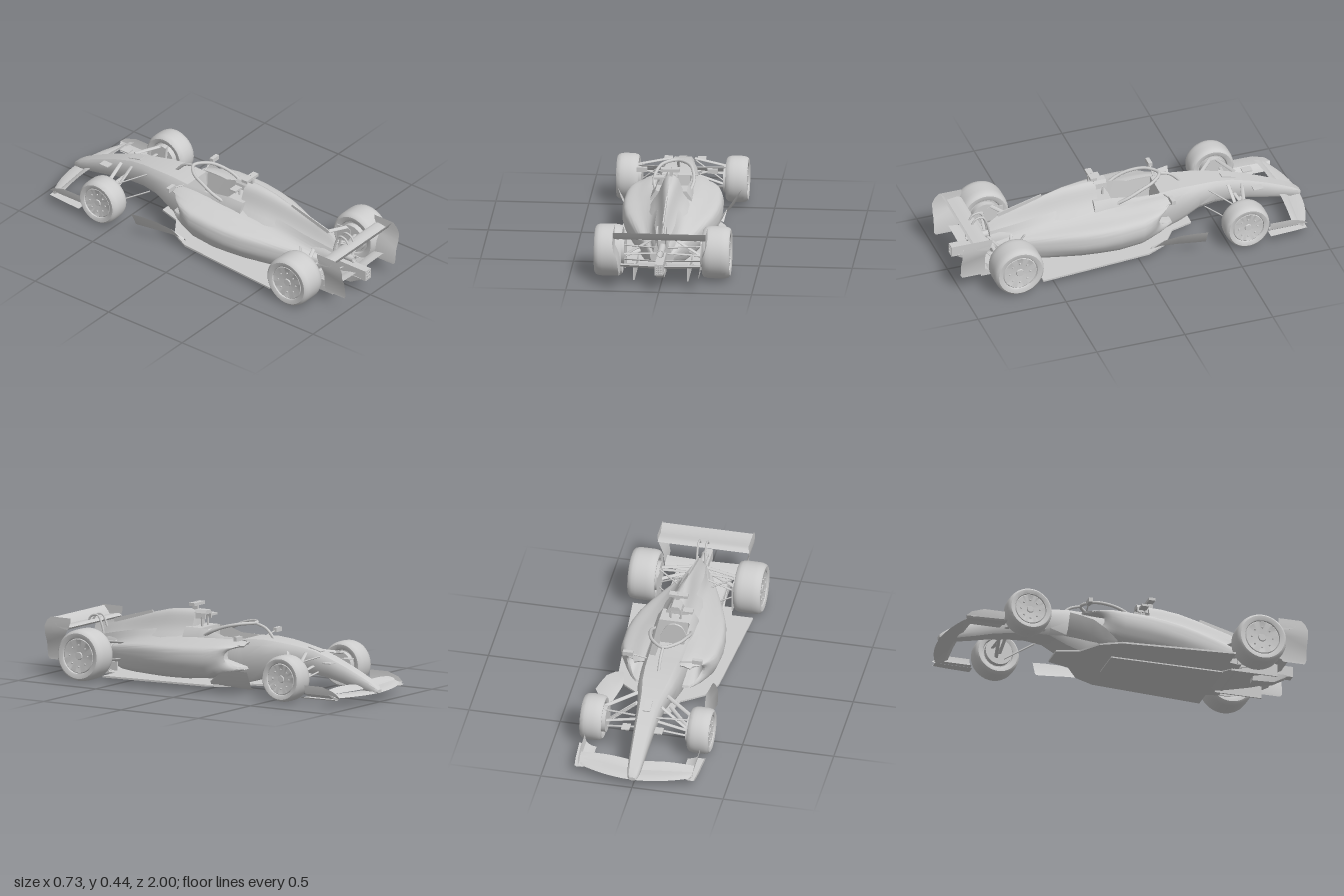
import * as THREE from 'three';
import { toCreasedNormals } from 'three/addons/utils/BufferGeometryUtils.js';

const bodyGrey = new THREE.MeshStandardMaterial({ color: 0xcccccc, side: THREE.DoubleSide });
bodyGrey.name = 'bodyGrey';

// Surface through rows of [x,y,z] points; rings may be closed and capped.
function skin(rows, closed = true, crease = 0.6) {
  const n = rows[0].length, idx = [], pos = rows.flat(2);
  const m = closed ? n : n - 1;
  for (let i = 0; i < rows.length - 1; i++) {
    for (let j = 0; j < m; j++) {
      const a = i * n + j, b = i * n + (j + 1) % n;
      idx.push(a, b, a + n, b, b + n, a + n);
    }
  }
  if (closed) {
    [0, rows.length - 1].forEach((r, end) => {
      const c = pos.length / 3;
      pos.push(...[0, 1, 2].map(k => rows[r].reduce((s, p) => s + p[k], 0) / n));
      for (let j = 0; j < n; j++) {
        const a = r * n + j, b = r * n + (j + 1) % n;
        end ? idx.push(c, a, b) : idx.push(c, b, a);
      }
    });
  }
  const g = new THREE.BufferGeometry();
  g.setAttribute('position', new THREE.Float32BufferAttribute(pos, 3));
  g.setIndex(idx);
  return toCreasedNormals(g, crease);
}

// Mirrored copy across x with corrected winding.
function mirror(geo) {
  const g = geo.index ? geo.toNonIndexed() : geo.clone();
  for (const key of ['position', 'normal']) {
    const a = g.attributes[key];
    for (let i = 0; i < a.count; i += 3) {
      const v = [0, 2, 1].map(k => [-a.getX(i + k), a.getY(i + k), a.getZ(i + k)]);
      v.forEach((p, k) => a.setXYZ(i + k, ...p));
    }
  }
  return g;
}

// Full ring at z from a half profile running bottom centre to top centre.
const ring = (z, half) => [
  ...half.map(([x, y]) => [x, y, z]),
  ...half.slice(1, -1).reverse().map(([x, y]) => [-x, y, z]),
];

// Smooth a half profile with a spline.
const smooth = (pts, n = 20) => new THREE.SplineCurve(pts.map(p => new THREE.Vector2(...p)))
  .getPoints(n).map(p => [p.x, p.y]);

// Wing spanning x; f(x) gives leading z,y, trailing z,y and thickness.
function foil(span, f, n = 24) {
  const rows = [];
  for (let i = 0; i <= n; i++) {
    const x = -span + 2 * span * i / n, [zl, yl, zt, yt, t] = f(x);
    const at = (k, d) => [x, yl + (yt - yl) * k + d, zl + (zt - zl) * k];
    rows.push([at(0, 0), at(0.25, t * 0.5), at(0.6, t * 0.3), at(1, 0), at(0.6, -t * 0.5), at(0.25, -t * 0.7)]);
  }
  return skin(rows);
}

// Bar between two points; chord widens it into a blade.
function rod(a, b, r = 0.006, chord = 1) {
  const A = new THREE.Vector3(...a), d = new THREE.Vector3(...b).sub(A);
  const g = new THREE.CylinderGeometry(r, r, d.length(), 10).scale(1, 1, chord);
  g.applyQuaternion(new THREE.Quaternion().setFromUnitVectors(new THREE.Vector3(0, 1, 0), d.clone().normalize()));
  return g.translate(...A.addScaledVector(d, 0.5).toArray());
}

const box = (w, h, d, x, y, z) => new THREE.BoxGeometry(w, h, d).translate(x, y, z);
const tube = (pts, r, n = 40) => new THREE.TubeGeometry(
  new THREE.CatmullRomCurve3(pts.map(p => new THREE.Vector3(...p))), n, r, 8);

export function createModel() {
  const car = new THREE.Group();
  car.name = 'racingCar';
  const add = (name, geo) => {
    const m = new THREE.Mesh(geo, bodyGrey);
    m.name = name;
    car.add(m);
  };
  const pair = (name, geo) => { add(name + 'Left', geo); add(name + 'Right', mirror(geo)); };

  // Nose and tub with a recessed cockpit: z, half width, bottom, top, recess
  const tub = [
    [-1, 0.018, 0.052, 0.07, 0], [-0.985, 0.028, 0.05, 0.085, 0], [-0.95, 0.035, 0.052, 0.108, 0],
    [-0.9, 0.04, 0.063, 0.133, 0], [-0.8, 0.047, 0.085, 0.178, 0], [-0.7, 0.054, 0.11, 0.217, 0],
    [-0.6, 0.062, 0.125, 0.25, 0], [-0.5, 0.075, 0.135, 0.268, 0], [-0.4, 0.098, 0.13, 0.281, 0],
    [-0.3, 0.11, 0.08, 0.288, 0], [-0.2, 0.115, 0.045, 0.284, 0], [-0.18, 0.115, 0.045, 0.283, 0],
    [-0.17, 0.116, 0.045, 0.282, 0.11], [-0.05, 0.12, 0.045, 0.284, 0.11], [0.01, 0.12, 0.045, 0.302, 0.13],
    [0.09, 0.12, 0.045, 0.314, 0.14], [0.1, 0.12, 0.045, 0.315, 0], [0.2, 0.12, 0.045, 0.315, 0],
  ];
  add('noseAndTub', skin(tub.map(([z, w, b, t, d]) => {
    const h = t - b;
    return ring(z, [[0, b], [w * 0.7, b], [w * 0.95, b + h * 0.2], [w, b + h * 0.6], [w * 0.92, b + h * 0.85],
      [w * 0.7, t], [w * 0.64, t - d], [0, t - d]]);
  })));
  add('noseHatch', box(0.04, 0.006, 0.08, 0, 0, 0).rotateX(-0.25).translate(0, 0.253, -0.59));

  // Engine cover: z, base half width, shoulder, crown, bottom, top
  const cover = [
    [0.09, 0.1, 0.07, 0.04, 0.05, 0.3], [0.165, 0.12, 0.068, 0.035, 0.05, 0.318],
    [0.17, 0.13, 0.068, 0.034, 0.05, 0.402], [0.25, 0.135, 0.068, 0.032, 0.05, 0.4],
    [0.35, 0.13, 0.06, 0.026, 0.05, 0.388], [0.45, 0.115, 0.05, 0.018, 0.05, 0.363],
    [0.55, 0.095, 0.04, 0.011, 0.055, 0.333], [0.65, 0.075, 0.032, 0.007, 0.075, 0.305],
    [0.72, 0.058, 0.026, 0.006, 0.095, 0.285], [0.77, 0.045, 0.022, 0.006, 0.11, 0.25],
  ];
  add('engineCover', skin(cover.map(([z, w, m, c, b, t]) => {
    const h = t - b;
    return ring(z, smooth([[0, b], [w, b + h * 0.04], [w, b + h * 0.45], [m, b + h * 0.72], [c, b + h * 0.94], [0, t]]));
  }), true, 0.9));
  add('coverFin', box(0.006, 0.03, 0.26, 0, 0, 0).rotateX(0.27).translate(0, 0.322, 0.59));

  // Air intake hood, its struts, and the camera mast
  const arch = new THREE.Shape([[-0.034, 0.355], [-0.031, 0.385], [-0.02, 0.402], [0.02, 0.402], [0.031, 0.385],
    [0.034, 0.355], [0.026, 0.355], [0.022, 0.38], [-0.022, 0.38], [-0.026, 0.355]].map(p => new THREE.Vector2(...p)));
  add('intakeHood', new THREE.ExtrudeGeometry(arch, { depth: 0.07, bevelEnabled: false }).translate(0, 0, 0.108));
  pair('intakeStrut', rod([0.026, 0.285, 0.13], [0.029, 0.365, 0.13], 0.006));
  add('cameraMast', box(0.016, 0.04, 0.03, 0, 0.41, 0.19));
  add('cameraBar', box(0.102, 0.016, 0.035, -0.005, 0.43, 0.185));
  add('antenna', rod([0, 0.43, 0.18], [0, 0.446, 0.185], 0.002));
  add('sideCamera', box(0.055, 0.012, 0.04, -0.067, 0.37, 0.135));
  add('sideCameraArm', rod([-0.05, 0.37, 0.135], [-0.03, 0.365, 0.15], 0.005));

  // Sidepods with a hollow scooped inlet, blending up into the cover: z, outer x, bottom, top, inset
  const pods = [
    [-0.1, 0.2, 0.16, 0.25, 0.8], [-0.22, 0.21, 0.132, 0.255, 0.88], [-0.225, 0.213, 0.127, 0.256, 1],
    [-0.2, 0.23, 0.118, 0.258, 1], [-0.16, 0.245, 0.105, 0.261, 1],
    [-0.1, 0.257, 0.088, 0.261, 1], [-0.03, 0.266, 0.07, 0.257, 1],
    [0.1, 0.27, 0.055, 0.25, 1], [0.2, 0.26, 0.048, 0.243, 1], [0.3, 0.24, 0.045, 0.235, 1],
    [0.4, 0.208, 0.045, 0.224, 1], [0.5, 0.172, 0.045, 0.21, 1], [0.6, 0.132, 0.05, 0.193, 1],
    [0.7, 0.092, 0.08, 0.172, 1], [0.77, 0.065, 0.1, 0.155, 1],
  ];
  pair('sidepod', skin(pods.map(([z, o, b, t, s]) => {
    const h = t - b, k = THREE.MathUtils.smoothstep(z, 0.05, 0.25);
    const xi = Math.min(0.1 - 0.045 * k, o * 0.45), cx = (xi + o) / 2, cy = (b + t) / 2, w = o - xi;
    const scoop = 0.48 * Math.max(0, -0.03 - z);
    return smooth([[xi, b], [xi + w * 0.65, b + h * 0.03], [o * 0.96, b + h * 0.35], [o, b + h * 0.65],
      [o * 0.93, b + h * 0.9], [xi + w * 0.5, t], [xi + w * 0.22, t + 0.012 + 0.01 * k], [xi, t + 0.015 + 0.045 * k]], 42)
      .map(([x, y]) => [cx + (x - cx) * s, cy + (y - cy) * s,
        z + scoop * Math.sqrt(Math.max(0, 1 - ((y - cy) * 2 / h) ** 2))]);
  }), true, 0.8));

  // Floor, plank and diffuser
  const half = [[0.07, -0.36], [0.105, -0.24], [0.22, -0.16], [0.275, -0.05], [0.33, 0.57], [0.215, 0.57], [0.2, 0.64]];
  const plan = [...half, ...half.map(([x, z]) => [-x, z]).reverse()];
  add('floor', new THREE.ExtrudeGeometry(new THREE.Shape(plan.map(p => new THREE.Vector2(...p))),
    { depth: 0.01, bevelEnabled: false }).rotateX(Math.PI / 2).translate(0, 0.047, 0));
  add('plank', box(0.2, 0.01, 0.63, 0, 0.035, 0.255));
  add('diffuser', skin([[0.56, 0.1, 0.03], [0.62, 0.16, 0.036], [0.7, 0.155, 0.055], [0.8, 0.148, 0.08], [0.86, 0.145, 0.1]]
    .map(([z, w, y]) => ring(z, [[0, y], [w, y], [w, y + 0.01], [0, y + 0.01]]))));
  pair('diffuserStrake', box(0.008, 0.07, 0.26, 0.145, 0.06, 0.73));

  // Turning vanes ahead of the floor
  pair('turningVane', skin([[-0.365, 0.26, 0.335, 0.15], [-0.3, 0.25, 0.322, 0.148], [-0.22, 0.235, 0.305, 0.14],
    [-0.14, 0.225, 0.275, 0.11], [-0.07, 0.235, 0.262, 0.06]].map(([z, a, b, y]) =>
    [[a, 0.043, z], [a + (b - a) * 0.45, 0.065, z], [b, y, z]]), false));

  // Halo and mirrors
  add('haloHoop', tube([[0.095, 0.28, 0.07], [0.107, 0.31, 0.01], [0.1, 0.338, -0.06], [0.07, 0.357, -0.145],
    [0, 0.36, -0.2], [-0.07, 0.357, -0.145], [-0.1, 0.338, -0.06], [-0.107, 0.31, 0.01], [-0.095, 0.28, 0.07]], 0.009, 64));
  add('haloPillar', tube([[0, 0.358, -0.2], [0, 0.335, -0.265], [0, 0.28, -0.32]], 0.008, 16));
  pair('mirrorStalk', rod([0.09, 0.275, -0.2], [0.18, 0.298, -0.21], 0.004));
  pair('mirrorPod', box(0.055, 0.024, 0.022, 0.19, 0.3, -0.21));
  pair('noseTab', box(0.045, 0.006, 0.055, 0.09, 0.2, -0.73));

  // Front wing, with side plates that sweep up from a flat foot
  add('frontWing', foil(0.31, x => {
    const k = Math.abs(x) / 0.31;
    return [-0.995 + 0.075 * k * k, 0.052 + 0.004 * k, -0.91 + 0.03 * k, 0.06 + 0.012 * k, 0.012];
  }));
  add('frontWingFlap', foil(0.31, x => {
    const k = Math.abs(x) / 0.31;
    return [-0.925 + 0.035 * k, 0.07 + 0.004 * k, -0.875 + 0.025 * k, 0.088 + 0.012 * Math.sin(Math.PI * k), 0.008];
  }));
  pair('frontEndplate', skin([[0.25, 0.045, -0.9, -0.735], [0.285, 0.048, -0.93, -0.73], [0.308, 0.065, -0.94, -0.725],
    [0.314, 0.09, -0.91, -0.725], [0.316, 0.112, -0.84, -0.725]].map(([x, y, z0, z1]) =>
    [0, 0.33, 0.66, 1].map(k => [x, y, z0 + (z1 - z0) * k])), false));
  pair('endplateFoot', skin([[-0.93, 0.33], [-0.86, 0.338], [-0.72, 0.347]].map(([z, x]) =>
    [[0.285, 0.047, z], [x - 0.01, 0.045, z], [x, 0.052, z]]), false));

  // Rear wing
  add('rearMainPlane', foil(0.25, () => [0.835, 0.272, 0.92, 0.272, 0.02], 2));
  add('rearFlap', foil(0.25, () => [0.915, 0.27, 0.952, 0.318, 0.01], 2));
  add('beamWing', foil(0.215, x => [0.84, 0.095 + 0.04 * Math.abs(x), 0.92, 0.122 + 0.03 * Math.abs(x), 0.016], 8));
  pair('rearEndplate', skin([[0.085, 0.215, 0.87, 0.99], [0.1, 0.215, 0.86, 1], [0.18, 0.226, 0.865, 1],
    [0.225, 0.245, 0.87, 1], [0.27, 0.25, 0.845, 1], [0.3, 0.25, 0.832, 0.985], [0.322, 0.25, 0.832, 0.96]]
    .map(([y, x, z0, z1]) => [[x, y, z0], [x, y, z1]]), false));
  pair('wingPylon', tube([[0.022, 0.16, 0.76], [0.022, 0.27, 0.785], [0.022, 0.312, 0.81], [0.022, 0.305, 0.85],
    [0.022, 0.275, 0.87]], 0.006, 24));

  // Gearbox tail, tail light and exhaust
  add('crashStructure', box(0.045, 0.06, 0.27, 0, 0.125, 0.85));
  add('tailKeel', skin([[0.76, 0.045], [0.88, 0.05], [0.95, 0.09]].map(([z, y]) =>
    ring(z, [[0, y], [0.022, y], [0.026, 0.1], [0, 0.1]]))));
  for (let i = 0; i < 15; i++) {
    add('tailLight' + i, new THREE.SphereGeometry(0.004, 8, 6)
      .translate((i % 3 - 1) * 0.012, 0.105 + Math.floor(i / 3) * 0.01, 0.985));
  }
  add('exhaust', new THREE.CylinderGeometry(0.018, 0.02, 0.14, 20, 1, true).rotateX(Math.PI / 2).translate(0, 0.186, 0.82));
  add('exhaustRim', new THREE.TorusGeometry(0.018, 0.003, 8, 20).translate(0, 0.186, 0.89));

  // Wheels: turned tyre and nearly flush rim disc with a ring of bolts
  const wheel = (name, R, h, x, y, z) => {
    const d = h - 0.018;
    const prof = [[0, -d], [0.64, -d], [0.68, -h + 0.006], [0.74, -h + 0.002], [0.88, -h], [0.95, -h + 0.008], [0.99, -h + 0.025],
      [1, -h + 0.045], [1, h - 0.045], [0.99, h - 0.025], [0.95, h - 0.008], [0.88, h], [0.74, h - 0.002], [0.7, h - 0.005],
      [0.68, h - 0.012], [0.65, h - 0.008], [0.3, h - 0.012], [0.16, h - 0.014], [0.14, h - 0.008], [0, h - 0.008]];
    const g = toCreasedNormals(new THREE.LatheGeometry(prof.map(([r, a]) => new THREE.Vector2(r * R, a)), 48), 0.6);
    pair(name, g.rotateZ(-Math.PI / 2).translate(x, y, z));
    for (let i = 0; i < 8; i++) {
      const a = i * Math.PI / 4;
      pair(name + 'Bolt' + i, new THREE.CylinderGeometry(0.004, 0.007, 0.01, 8).rotateZ(-Math.PI / 2)
        .translate(x + h - 0.01, y + Math.cos(a) * R * 0.42, z + Math.sin(a) * R * 0.42));
    }
  };
  wheel('frontWheel', 0.125, 0.059, 0.294, 0.135, -0.59);
  wheel('rearWheel', 0.14, 0.074, 0.29, 0.144, 0.71);

  // Suspension blades and brake ducts
  [[[0.06, 0.225, -0.65], [0.25, 0.2, -0.6]], [[0.08, 0.235, -0.46], [0.25, 0.2, -0.58]],
    [[0.06, 0.14, -0.64], [0.25, 0.09, -0.6]], [[0.09, 0.145, -0.43], [0.25, 0.09, -0.58]],
    [[0.07, 0.24, -0.57], [0.25, 0.1, -0.59]], [[0.06, 0.17, -0.61], [0.25, 0.145, -0.63]],
    [[0.07, 0.19, 0.58], [0.23, 0.21, 0.7]], [[0.03, 0.185, 0.78], [0.23, 0.18, 0.73]],
    [[0.1, 0.11, 0.56], [0.23, 0.1, 0.69]], [[0.02, 0.125, 0.83], [0.23, 0.1, 0.73]],
    [[0.03, 0.15, 0.77], [0.23, 0.14, 0.77]], [[0.05, 0.2, 0.66], [0.23, 0.1, 0.7]],
  ].forEach(([a, b], i) => pair((i < 6 ? 'frontArm' : 'rearArm') + i, rod(a, b, 0.004, 2.6)));
  pair('frontBrakeDuct', new THREE.CylinderGeometry(0.075, 0.075, 0.03, 24).rotateZ(Math.PI / 2).translate(0.235, 0.135, -0.59));
  pair('rearBrakeDuct', new THREE.CylinderGeometry(0.08, 0.08, 0.03, 24).rotateZ(Math.PI / 2).translate(0.22, 0.144, 0.71));
  pair('rearBrakeFin', box(0.006, 0.16, 0.09, 0.205, 0.12, 0.66));
  return car;
}
